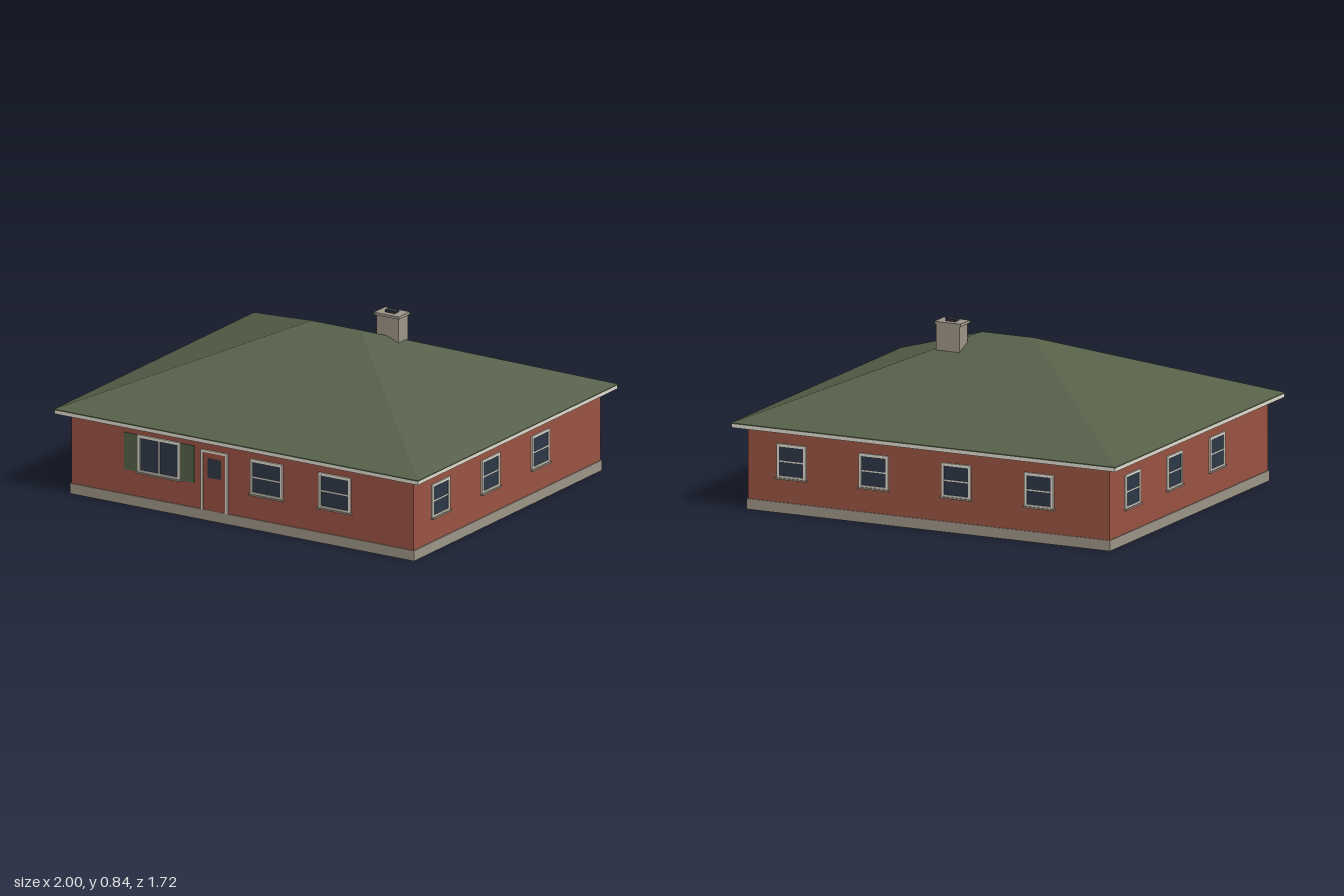
import * as THREE from 'three';

function mat(name, color) {
  const m = new THREE.MeshStandardMaterial({ color });
  m.name = name;
  return m;
}

export function createModel() {
  const brick = mat('brick', 0x9a5343);
  const stone = mat('stone', 0x9c9486);
  const trim = mat('trim', 0xdedacd);
  const glass = mat('glass', 0x2d3747);
  const roofGreen = mat('roofGreen', 0x566049);
  const shutterGreen = mat('shutterGreen', 0x56634a);
  const doorRed = mat('doorRed', 0x974e3f);
  const dark = mat('flueDark', 0x2c3038);

  const house = new THREE.Group();
  house.name = 'house';

  // Box given by its extents on each axis
  function box(parent, name, material, [x0, x1], [y0, y1], [z0, z1]) {
    const mesh = new THREE.Mesh(new THREE.BoxGeometry(x1 - x0, y1 - y0, z1 - z0), material);
    mesh.position.set((x0 + x1) / 2, (y0 + y1) / 2, (z0 + z1) / 2);
    mesh.name = name;
    parent.add(mesh);
    return mesh;
  }

  // Rectangular frame extruded outward from the wall plane (z = 0)
  function frame(parent, name, w, y0, y1, t, openBottom = false) {
    const s = new THREE.Shape();
    const h = w / 2, i = h - t;
    if (openBottom) {
      [[-h, y0], [-i, y0], [-i, y1 - t], [i, y1 - t], [i, y0], [h, y0], [h, y1], [-h, y1]]
        .forEach(([x, y], k) => (k ? s.lineTo(x, y) : s.moveTo(x, y)));
    } else {
      s.moveTo(-h, y0).lineTo(h, y0).lineTo(h, y1).lineTo(-h, y1);
      const hole = new THREE.Path();
      hole.moveTo(-i, y0 + t).lineTo(-i, y1 - t).lineTo(i, y1 - t).lineTo(i, y0 + t);
      s.holes.push(hole);
    }
    const mesh = new THREE.Mesh(new THREE.ExtrudeGeometry(s, { depth: 0.008, bevelEnabled: false }), trim);
    mesh.name = name;
    parent.add(mesh);
  }

  // Window in local coordinates: x along the wall, z outward
  function makeWindow(w, y0, y1, verticalBar = false) {
    const g = new THREE.Group();
    g.name = 'window';
    const h = w / 2, mid = (y0 + y1) / 2, t = 0.013;
    box(g, 'pane', glass, [-h + t, h - t], [y0 + t, y1 - t], [-0.004, 0.003]);
    frame(g, 'windowFrame', w, y0, y1, t);
    if (verticalBar) box(g, 'bar', trim, [-0.003, 0.003], [y0 + t, y1 - t], [0, 0.006]);
    else box(g, 'bar', trim, [-h + t, h - t], [mid - 0.003, mid + 0.003], [0, 0.006]);
    box(g, 'sill', stone, [-h - 0.005, h + 0.005], [y0 - 0.003, y0 + 0.005], [0, 0.014]);
    return g;
  }

  // Place a wall element on one side of the house
  function place(g, x, z, turn) {
    g.position.set(x, 0, z);
    g.rotation.y = turn;
    house.add(g);
  }

  const WX = 0.94, WZ = 0.805;
  box(house, 'foundation', stone, [-0.945, 0.945], [0, 0.05], [-0.81, 0.81]);
  box(house, 'walls', brick, [-WX, WX], [0.05, 0.395], [-WZ, WZ]);
  box(house, 'fascia', trim, [-0.997, 0.997], [0.392, 0.411], [-0.859, 0.859]);

  // Front: picture window with shutters, two sash windows, door
  const picture = makeWindow(0.235, 0.168, 0.352, true);
  for (const side of [-1, 1]) {
    const c = side * 0.155;
    box(picture, 'shutter', shutterGreen, [c - 0.0375, c + 0.0375], [0.17, 0.35], [0, 0.005]);
  }
  place(picture, -0.455, WZ, 0);
  for (const x of [0.134, 0.508]) place(makeWindow(0.178, 0.168, 0.342), x, WZ, 0);

  const door = new THREE.Group();
  door.name = 'frontDoor';
  box(door, 'doorPanel', doorRed, [-0.062, 0.062], [0.05, 0.33], [-0.002, 0.003]);
  box(door, 'doorGlass', glass, [-0.037, 0.037], [0.21, 0.302], [0, 0.005]);
  frame(door, 'doorFrame', 0.145, 0.05, 0.342, 0.011, true);
  place(door, -0.153, WZ, 0);

  // Sides: the second side is the first turned half way round
  for (const z of [0.576, 0.148, -0.282]) {
    place(makeWindow(0.152, 0.164, 0.329), WX, z, Math.PI / 2);
    place(makeWindow(0.152, 0.164, 0.329), -WX, -z, -Math.PI / 2);
  }
  // Back
  for (const x of [0.713, 0.284, -0.145, -0.575]) {
    place(makeWindow(0.152, 0.164, 0.329), x, -WZ, Math.PI);
  }

  // Hip roof with a short ridge and a thin eave edge
  box(house, 'roofEdge', roofGreen, [-1, 1], [0.41, 0.415], [-0.862, 0.862]);
  const y = 0.415;
  const A = [-1, y, 0.862], B = [1, y, 0.862], C = [1, y, -0.862], D = [-1, y, -0.862];
  const L = [-0.135, 0.762, 0], R = [0.135, 0.762, 0];
  const faces = [A, B, R, A, R, L, B, C, R, C, D, L, C, L, R, D, A, L];
  const roofGeo = new THREE.BufferGeometry();
  roofGeo.setAttribute('position', new THREE.Float32BufferAttribute(faces.flat(), 3));
  roofGeo.computeVertexNormals();
  const roof = new THREE.Mesh(roofGeo, roofGreen);
  roof.name = 'hipRoof';
  house.add(roof);

  // Chimney
  const chimney = new THREE.Group();
  chimney.name = 'chimney';
  box(chimney, 'stack', stone, [0.166, 0.287], [0.62, 0.82], [-0.17, -0.088]);
  box(chimney, 'cap', stone, [0.156, 0.293], [0.818, 0.831], [-0.176, -0.082]);
  box(chimney, 'flue', dark, [0.199, 0.251], [0.83, 0.843], [-0.147, -0.111]);
  house.add(chimney);

  return house;
}
